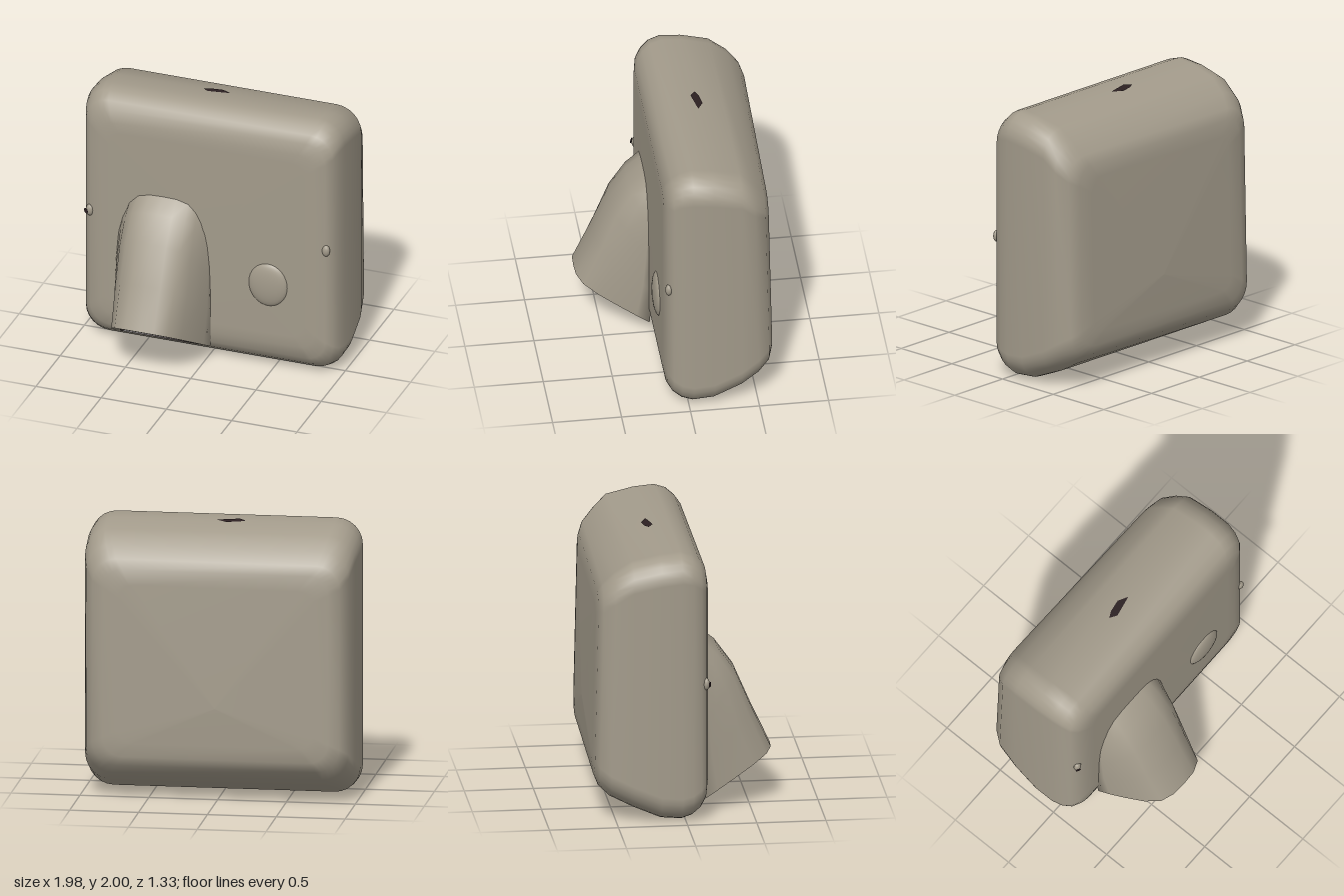
import * as THREE from 'three';

const shell = new THREE.MeshStandardMaterial({ color: 0xa39b8b, side: THREE.DoubleSide });
shell.name = 'warm grey shell';
const dark = new THREE.MeshStandardMaterial({ color: 0x2c2022, side: THREE.DoubleSide });
dark.name = 'dark opening';

// Skin a row of closed loops, each an array of Vector3
function loft(loops) {
  const n = loops[0].length, pos = [], idx = [];
  loops.forEach(l => l.forEach(p => pos.push(p.x, p.y, p.z)));
  for (let i = 0; i < loops.length - 1; i++) {
    for (let j = 0; j < n; j++) {
      const a = i * n + j, b = i * n + (j + 1) % n, c = a + n, d = b + n;
      idx.push(a, c, b, b, c, d);
    }
  }
  const g = new THREE.BufferGeometry();
  g.setAttribute('position', new THREE.Float32BufferAttribute(pos, 3));
  g.setIndex(idx);
  g.computeVertexNormals();
  return g;
}

// Rounded rectangle, counter-clockwise seen from the front
function roundedLoop(z, hw, y0, y1, r) {
  const pts = [];
  const corners = [[hw - r, y1 - r], [r - hw, y1 - r], [r - hw, y0 + r], [hw - r, y0 + r]];
  corners.forEach(([cx, cy], q) => {
    for (let k = 0; k <= 6; k++) {
      const t = (q + k / 6) * Math.PI / 2;
      const x = cx + r * Math.cos(t), y = cy + r * Math.sin(t);
      const tilt = z < -0.5 ? 0.02 * x + 0.022 * (y - 1) : 0; // back leans slightly
      pts.push(new THREE.Vector3(x, y, z + tilt));
    }
  });
  return pts;
}

// Half section of the spout: [fraction of half width, fraction of height]
const half = [[1, 0], [0.95, 0.18], [0.87, 0.4], [0.74, 0.7], [0.56, 0.91], [0.3, 0.99]];
const arch = [...half.map(([x, h]) => [-x, h]), [0, 1], ...half.slice().reverse()];
const spoutX = -0.335;

function archLoop([ridgeZ, ridgeY, footZ, footY, hw]) {
  return arch.map(([x, h]) => new THREE.Vector3(
    spoutX + x * hw, footY + (ridgeY - footY) * h, footZ + (ridgeZ - footZ) * h));
}

export function createModel() {
  const model = new THREE.Group();
  model.name = 'handDryer';
  const add = (name, geo, mat, x = 0, y = 0, z = 0, parent = model) => {
    const m = new THREE.Mesh(geo, mat);
    m.name = name;
    m.position.set(x, y, z);
    parent.add(m);
    return m;
  };

  // Pillow-shaped housing: z, half width, bottom, top, corner radius
  add('housing', loft([
    [0.17, 0.001, 0.999, 1.001, 0.0005],
    [0.17, 0.74, 0.30, 1.70, 0.10],
    [0.168, 0.82, 0.22, 1.78, 0.12],
    [0.15, 0.90, 0.13, 1.87, 0.15],
    [0.11, 0.945, 0.07, 1.925, 0.17],
    [0.05, 0.97, 0.025, 1.975, 0.18],
    [-0.03, 0.985, 0, 2, 0.19],
    [-0.18, 0.99, 0.015, 1.985, 0.19],
    [-0.38, 0.98, 0.10, 1.94, 0.19],
    [-0.51, 0.955, 0.18, 1.85, 0.19],
    [-0.59, 0.90, 0.25, 1.76, 0.17],
    [-0.62, 0.82, 0.32, 1.69, 0.14],
    [-0.63, 0.70, 0.42, 1.58, 0.10],
    [-0.645, 0.001, 0.699, 0.701, 0.0005],
  ].map(s => roundedLoop(...s))), shell);

  // Spout: ridge z, ridge y, foot z, foot y, half width
  const spout = new THREE.Group();
  spout.name = 'spout';
  model.add(spout);
  const sections = [
    [0.16, 1.26, 0.14, 0.98, 0.345],
    [0.28, 1.16, 0.14, 0.85, 0.36],
    [0.41, 0.98, 0.14, 0.64, 0.37],
    [0.53, 0.70, 0.14, 0.38, 0.372],
    [0.67, 0.40, 0.165, 0.10, 0.36],
  ].map(archLoop);
  add('spoutHood', loft(sections), shell, 0, 0, 0, spout);

  // Rim turned into the outlet, with a dark panel set inside
  const outer = sections[4];
  const inner = outer.map(p => new THREE.Vector3(
    spoutX + (p.x - spoutX) * 0.82, 0.15 + (p.y - 0.15) * 0.85, 0.25 + (p.z - 0.25) * 0.85));
  const deep = inner.map(p => p.clone().add(new THREE.Vector3(0, 0.026, -0.015)));
  const middle = deep.map(() => new THREE.Vector3(spoutX, 0.246, 0.375));
  add('outletRim', loft([outer, inner]), shell, 0, 0, 0, spout);
  add('outletWall', loft([inner, deep]), dark, 0, 0, 0, spout);
  add('outletPanel', loft([deep, middle]), dark, 0, 0, 0, spout);
  const divider = add('outletDivider', new THREE.BoxGeometry(0.03, 0.009, 0.25), shell,
    -0.39, 0.272, 0.414, spout);
  divider.rotation.x = -0.54;
  const lip = add('outletLip', new THREE.BoxGeometry(0.24, 0.009, 0.06), shell,
    -0.31, 0.152, 0.214, spout);
  lip.rotation.x = -0.54;

  // Domed push button
  const button = add('button', new THREE.SphereGeometry(1, 24, 16), shell, 0.47, 0.685, 0.165);
  button.scale.set(0.15, 0.17, 0.042);

  // Side screws near the front edges
  for (const side of [-1, 1]) {
    const screw = add('screw', new THREE.SphereGeometry(1, 12, 8), shell, side * 0.905, 1.03, 0.145);
    screw.scale.set(0.03, 0.045, 0.025);
  }
  const slot = add('screwSlot', new THREE.CircleGeometry(0.022, 8), dark, -0.925, 1.03, 0.17);
  slot.rotation.y = -0.5;

  // Diamond-shaped lock hole on the top
  const hole = new THREE.Shape([[-0.11, 0], [-0.06, -0.035], [0.06, -0.01], [0.1, 0.0],
    [0.03, 0.04], [-0.06, 0.025]].map(([x, y]) => new THREE.Vector2(x, y)));
  const lock = add('lockHole', new THREE.ShapeGeometry(hole), dark, -0.05, 1.99, -0.185);
  lock.rotation.x = -Math.PI / 2 - 0.15;

  return model;
}
